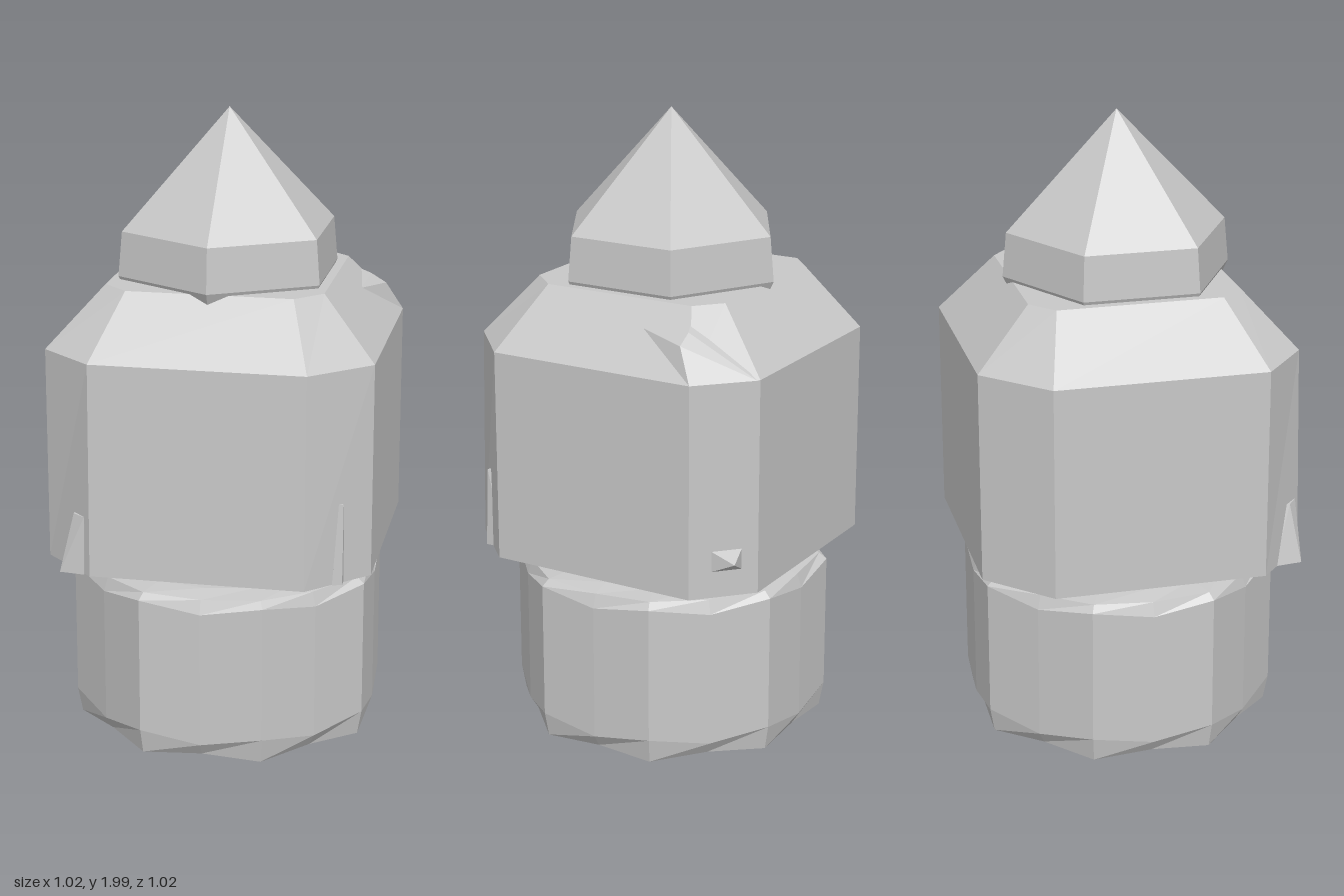
import * as THREE from 'three';
import { ConvexGeometry } from 'three/addons/geometries/ConvexGeometry.js';

// Skin a list of cross-sections (each a loop of [x, y, z]) and cap both ends.
function loft(rings) {
  const n = rings[0].length, pos = [], idx = [];
  rings.forEach(r => r.forEach(p => pos.push(...p)));
  for (let k = 0; k < rings.length - 1; k++) {
    for (let i = 0; i < n; i++) {
      const j = (i + 1) % n, a = k * n + i, b = k * n + j;
      idx.push(a, b, b + n, a, b + n, a + n);
    }
  }
  const cap = (ring, start, up) => {
    const c = [0, 1, 2].map(d => ring.reduce((s, p) => s + p[d], 0) / n);
    const m = pos.length / 3;
    pos.push(...c);
    for (let i = 0; i < n; i++) {
      const a = start + i, b = start + (i + 1) % n;
      if (up) idx.push(m, a, b); else idx.push(m, b, a);
    }
  };
  cap(rings[0], 0, false);
  cap(rings[rings.length - 1], (rings.length - 1) * n, true);
  const g = new THREE.BufferGeometry();
  g.setAttribute('position', new THREE.Float32BufferAttribute(pos, 3));
  g.setIndex(idx);
  const flat = g.toNonIndexed();
  flat.computeVertexNormals();
  return flat;
}

// Regular loop; odd points may use another radius and height.
function loop(n, r, y, rOdd = r, yOdd = y, turn = 0) {
  return Array.from({ length: n }, (_, i) => {
    const a = turn + i / n * Math.PI * 2, q = i % 2 ? rOdd : r;
    return [Math.sin(a) * q, i % 2 ? yOdd : y, Math.cos(a) * q];
  });
}

export function createModel() {
  const group = new THREE.Group();
  const grey = new THREE.MeshStandardMaterial({ color: 0xc8c8c8, flatShading: true });
  grey.name = 'light grey';
  const add = (name, geometry) => {
    const mesh = new THREE.Mesh(geometry, grey);
    mesh.name = name;
    group.add(mesh);
  };
  const hull = pts => new ConvexGeometry(pts.map(p => new THREE.Vector3(...p)));

  // Faceted base, hollow underneath
  const t = Math.PI / 8;
  add('base', loft([
    loop(16, 0.43, 0.15, 0.42, 0.15, t),
    loop(16, 0.475, 0.01, 0.435, 0.02, t),
    loop(16, 0.495, 0.01, 0.455, 0.02, t),
    loop(16, 0.51, 0.09, 0.48, 0.06, t),
    loop(16, 0.51, 0.53, 0.48, 0.5, t),
    loop(16, 0.485, 0.55, 0.465, 0.545, t),
    loop(16, 0.4, 0.56, 0.4, 0.56, t),
  ]));
  // Eight-sided boss inside the base
  add('innerBoss', loft([loop(8, 0.22, 0.02), loop(8, 0.22, 0.17)]));
  // Hexagonal neck
  add('neck', loft([loop(6, 0.33, 0.53), loop(6, 0.33, 0.63)]));

  // Body: a square with cut corners, then a sloping shoulder
  const outline = [[-0.34, 0.51], [0.33, 0.51], [0.51, 0.33], [0.51, -0.36],
    [0.35, -0.51], [-0.32, -0.51], [-0.51, -0.32], [-0.51, 0.35]];
  const top = [[-0.26, 0.325], [0.26, 0.325], [0.34, 0.24], [0.34, -0.27],
    [0.26, -0.34], [-0.26, -0.34], [-0.34, -0.27], [-0.34, 0.25]];
  add('body', loft([
    outline.map(([x, z]) => [x, 0.615, z]),
    outline.map(([x, z]) => [x, 1.29, z > 0.4 ? z - 0.015 : z]),
    top.map(([x, z]) => [x, 1.48, z]),
  ]));
  // Raised ridge on the back left shoulder corner
  add('shoulderRidge', hull([[0.4, 1.41, -0.13], [0.41, 1.42, -0.3], [0.46, 1.39, -0.3],
    [0.51, 1.29, -0.36], [0.36, 1.29, -0.505], [0.33, 1.46, -0.27], [0.45, 1.3, -0.2]]));

  // Hexagonal collar and pointed tip
  add('collar', loft([loop(6, 0.345, 1.45), loop(6, 0.365, 1.49), loop(6, 0.352, 1.63)]));
  add('tip', new THREE.ConeGeometry(0.352, 0.37, 6).translate(0, 1.815, 0));

  // Small tabs and a spike on the cut corners
  add('rightTab', hull([[-0.44, 0.615, 0.49], [-0.36, 0.615, 0.5], [-0.45, 0.615, 0.4],
    [-0.35, 0.615, 0.45], [-0.4, 0.8, 0.46], [-0.36, 0.8, 0.49], [-0.4, 0.8, 0.42]]));
  add('leftTab', hull([[0.435, 0.615, 0.43], [0.405, 0.615, 0.44], [0.435, 0.615, 0.36],
    [0.4, 0.615, 0.4], [0.435, 0.87, 0.42], [0.42, 0.87, 0.42], [0.42, 0.87, 0.39]]));
  add('backSpike', hull([[0.455, 0.735, -0.487], [0.39, 0.7, -0.475], [0.46, 0.7, -0.41],
    [0.39, 0.765, -0.475], [0.46, 0.765, -0.41]]));
  return group;
}
